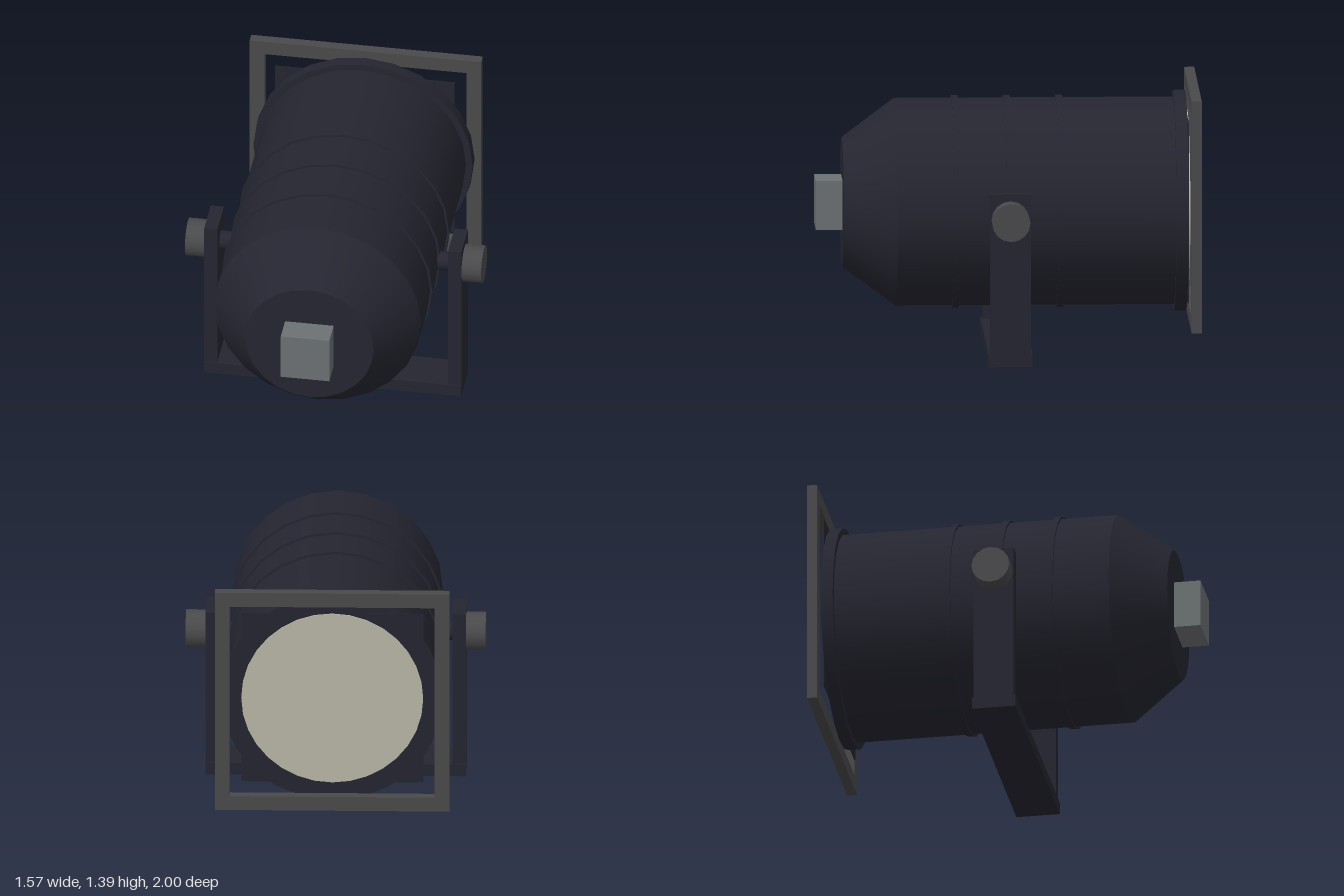
import * as THREE from 'three';

const AXIS_Y = 0.775; // height of the can's axis

const mat = (name, color) => {
  const m = new THREE.MeshStandardMaterial({ color });
  m.name = name;
  return m;
};

export function createModel() {
  const model = new THREE.Group();
  const black = mat('blackPaint', 0x252531);
  const steel = mat('darkSteel', 0x4a4a4c);
  const grey = mat('socketGrey', 0x6c7173);
  const glass = mat('lensCream', 0xbab6a8);

  const add = (name, geometry, material, x = 0, y = 0, z = 0) => {
    const mesh = new THREE.Mesh(geometry, material);
    mesh.name = name;
    mesh.position.set(x, y, z);
    model.add(mesh);
    return mesh;
  };
  const box = (name, material, w, h, d, x, y, z) =>
    add(name, new THREE.BoxGeometry(w, h, d), material, x, y, z);
  // Cylinder along z between z0 (radius r0) and z1 (radius r1)
  const drum = (name, material, r0, r1, z0, z1, sides = 24) =>
    add(name, new THREE.CylinderGeometry(r1, r0, z1 - z0, sides).rotateX(Math.PI / 2),
      material, 0, AXIS_Y, (z0 + z1) / 2);

  // Can with tapered closed end
  drum('canBody', black, 0.545, 0.545, -0.88, 0.585);
  drum('taperedEnd', black, 0.545, 0.34, 0.585, 0.86);
  drum('rimFlange', black, 0.58, 0.58, -0.934, -0.87);
  for (const z of [-0.272, 0, 0.272]) drum('rib', black, 0.557, 0.557, z - 0.017, z + 0.017);

  // Lamp socket on the closed end
  box('lampSocket', grey, 0.257, 0.257, 0.15, 0, AXIS_Y, 0.925);

  // Square backing plate and lens at the open end
  box('lensPlate', black, 0.95, 0.95, 0.005, 0, AXIS_Y, -0.9355);
  drum('lens', glass, 0.475, 0.475, -0.945, -0.937, 32);

  // Square filter frame
  const outline = new THREE.Shape([[-1, -1], [1, -1], [1, 1], [-1, 1]]
    .map(([x, y]) => new THREE.Vector2(x * 0.612, y * 0.612)));
  outline.holes.push(new THREE.Path([[-1, -1], [-1, 1], [1, 1], [1, -1]]
    .map(([x, y]) => new THREE.Vector2(x * 0.534, y * 0.534))));
  add('filterFrame', new THREE.ExtrudeGeometry(outline, { depth: 0.053, bevelEnabled: false }),
    steel, 0, AXIS_Y, -1);

  // Yoke: base bar, two arms, clamp knobs and pivots
  box('yokeBase', black, 1.36, 0.065, 0.23, 0, 0.0325, 0);
  for (const side of [-1, 1]) {
    box('yokeArm', black, 0.07, 0.85, 0.212, side * 0.645, 0.485, 0);
    add('clampKnob', new THREE.CylinderGeometry(0.1, 0.1, 0.104, 16).rotateZ(Math.PI / 2),
      steel, side * 0.731, AXIS_Y, 0);
    add('pivot', new THREE.CylinderGeometry(0.05, 0.05, 0.09, 16).rotateZ(Math.PI / 2),
      black, side * 0.58, AXIS_Y, 0);
  }
  return model;
}
